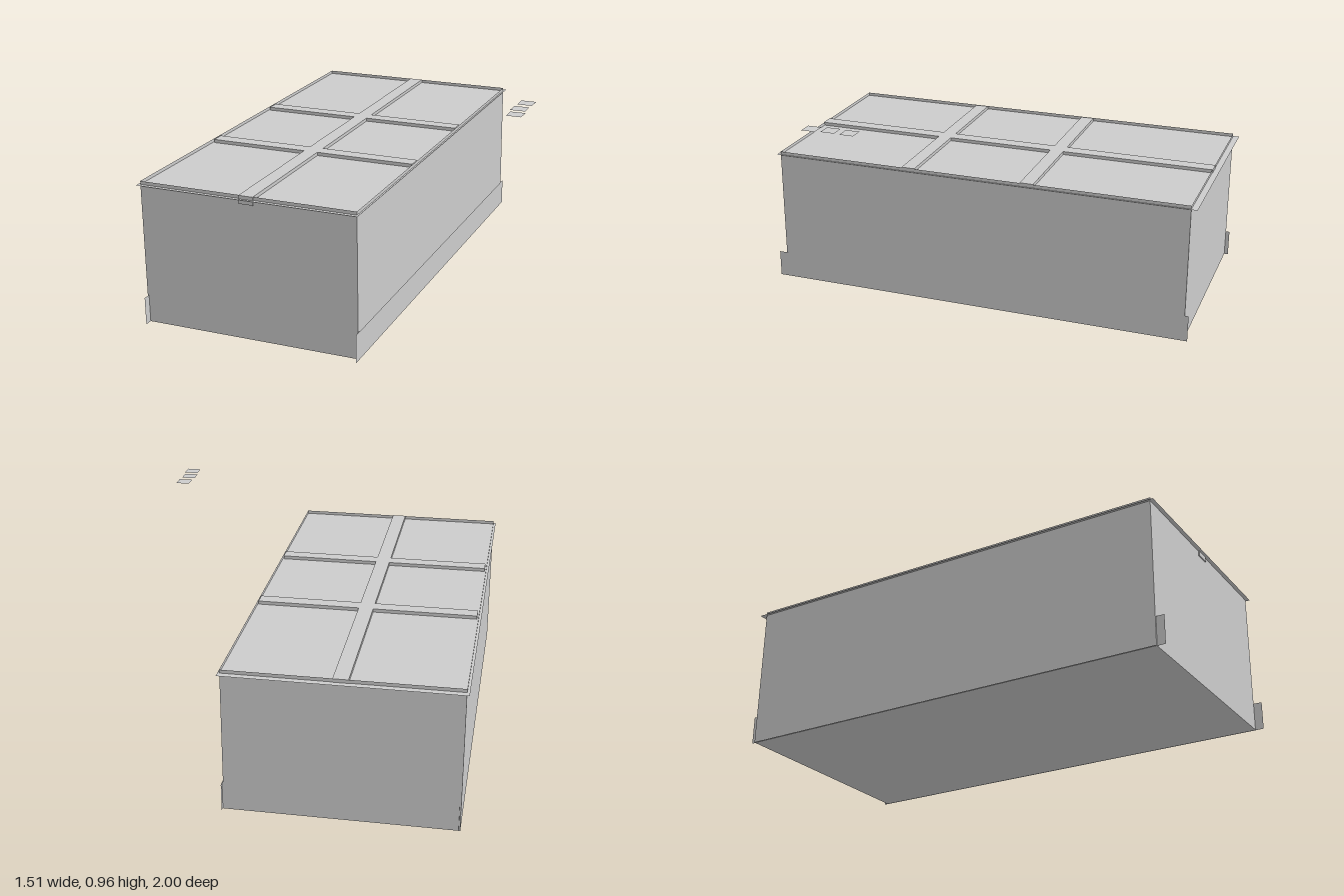
import * as THREE from 'three';

export function createModel() {
  const model = new THREE.Group();
  const grey = new THREE.MeshStandardMaterial({ color: 0xcccccc, side: THREE.DoubleSide, flatShading: true });

  const add = (name, geometry, x, y, z) => {
    const mesh = new THREE.Mesh(geometry, grey);
    mesh.name = name;
    mesh.position.set(x, y, z);
    model.add(mesh);
  };
  // Thin sheets given by their extents: level, facing z, facing x
  const level = (name, x0, x1, z0, z1, y) =>
    add(name, new THREE.PlaneGeometry(x1 - x0, z1 - z0).rotateX(-Math.PI / 2), (x0 + x1) / 2, y, (z0 + z1) / 2);
  const across = (name, x0, x1, y0, y1, z) =>
    add(name, new THREE.PlaneGeometry(x1 - x0, y1 - y0), (x0 + x1) / 2, (y0 + y1) / 2, z);
  const along = (name, z0, z1, y0, y1, x) =>
    add(name, new THREE.PlaneGeometry(z1 - z0, y1 - y0).rotateY(Math.PI / 2), x, (y0 + y1) / 2, (z0 + z1) / 2);
  const beam = (name, x0, x1, z0, z1) =>
    add(name, new THREE.BoxGeometry(x1 - x0, 0.036, z1 - z0), (x0 + x1) / 2, 0.617, (z0 + z1) / 2);

  // Room shell
  const top = 0.635;
  level('floor', -0.745, 0.226, -0.972, 0.965, 0);
  across('frontWall', -0.748, 0.223, 0, top, 0.965);
  across('backWall', -0.748, 0.223, 0, top, -0.972);
  along('rightWall', -0.972, 0.965, 0, top, -0.748);
  along('leftWall', -0.972, 0.965, 0, top, 0.223);

  // Ceiling sheet sits just under the wall tops and overhangs them
  level('ceiling', -0.759, 0.231, -1, 0.982, 0.62);

  // Skirting boards; the long ones run past the end walls
  const skirt = 0.122;
  along('rightSkirting', -0.99, 1, 0, skirt, -0.742);
  along('leftSkirting', -0.99, 1, 0, skirt, 0.228);
  across('frontSkirting', -0.742, 0.228, 0, skirt, 0.962);
  across('backSkirting', -0.742, 0.228, 0, skirt, -0.968);

  // Ceiling beams: one long, two crossing
  beam('longBeam', -0.291, -0.227, -0.974, 0.97);
  beam('crossBeam', -0.741, 0.219, -0.272, -0.21);
  beam('crossBeam', -0.741, 0.219, 0.291, 0.353);

  // Loose square panels floating beside the room
  for (const [x, z] of [[0.717, 0.357], [0.713, 0.445], [0.721, 0.528]])
    level('loosePanel', x - 0.031, x + 0.031, z - 0.031, z + 0.031, 0.96);

  return model;
}
